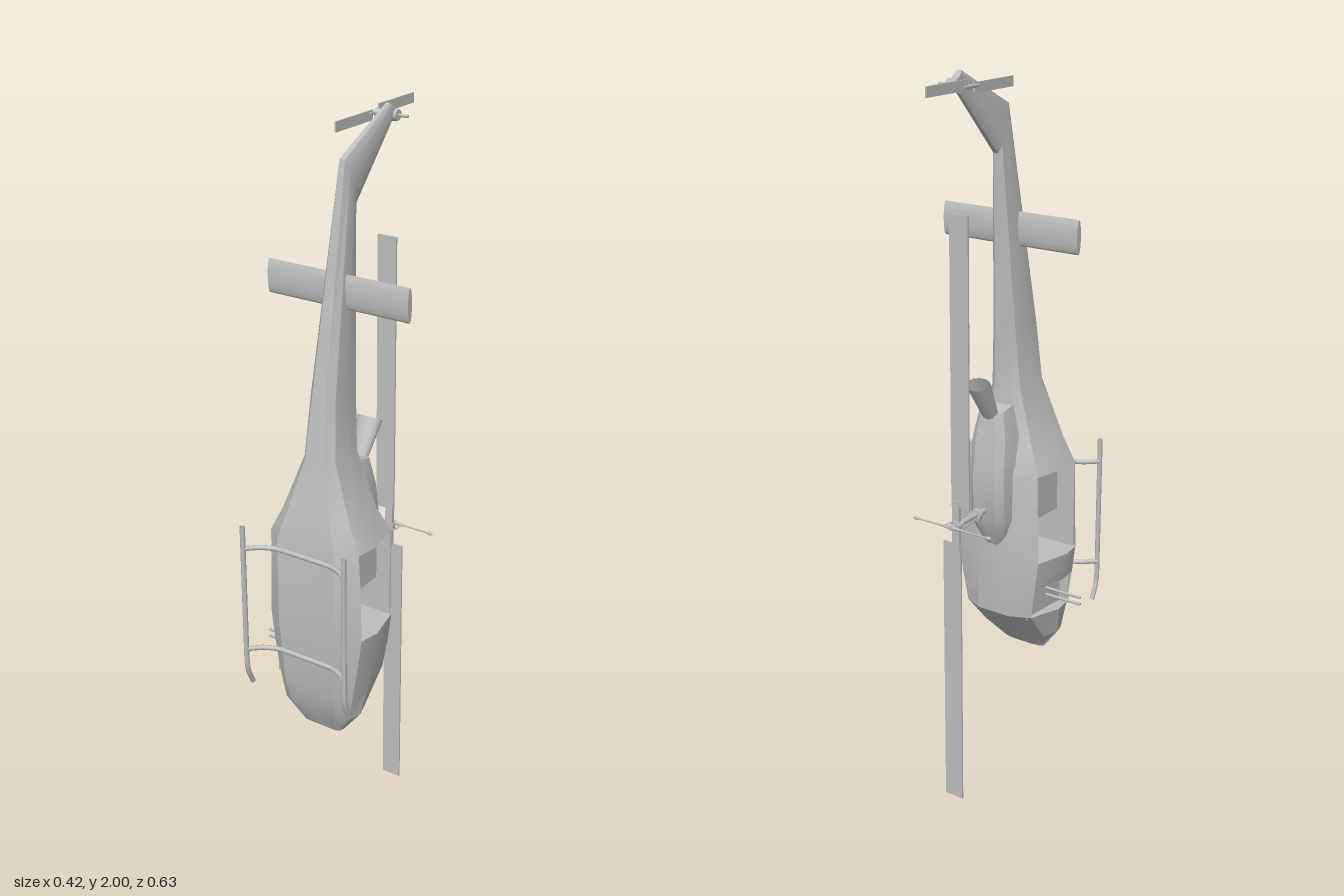
import * as THREE from 'three';
import { toCreasedNormals } from 'three/addons/utils/BufferGeometryUtils.js';

const grey = new THREE.MeshStandardMaterial({ color: 0xbdbdbd, side: THREE.DoubleSide });
grey.name = 'bodyGrey';

const V = (x, y, z) => new THREE.Vector3(x, y, z);

function part(parent, name, geometry, x = 0, y = 0, z = 0) {
  const m = new THREE.Mesh(geometry, grey);
  m.name = name;
  m.position.set(x, y, z);
  parent.add(m);
  return m;
}

const box = (parent, name, size, pos) => part(parent, name, new THREE.BoxGeometry(...size), ...pos);

// Straight round bar between two points
function rod(parent, name, a, b, r, r2 = r, sides = 8) {
  const d = b.clone().sub(a);
  const m = part(parent, name, new THREE.CylinderGeometry(r2, r, d.length(), sides));
  m.position.copy(a).addScaledVector(d, 0.5);
  m.quaternion.setFromUnitVectors(V(0, 1, 0), d.normalize());
  return m;
}

function tube(parent, name, points, r) {
  const curve = new THREE.CatmullRomCurve3(points, false, 'catmullrom', 0.2);
  return part(parent, name, new THREE.TubeGeometry(curve, 24, r, 8));
}

// Mirrored cross-section: y at belly and roof, then x,z pairs from belly to roof
function ring([yb, yr, ...p]) {
  const zb = p[1], zr = p[9];
  const at = (x, z) => V(x, yb + (yr - yb) * (zb - z) / (zb - zr), z);
  const side = [];
  for (let i = 0; i < 10; i += 2) side.push(at(p[i], p[i + 1]));
  const mirrored = side.map(v => V(-v.x, v.y, v.z)).reverse();
  return [at(0, zb), ...side, at(0, zr), ...mirrored];
}

// Skin over the sections; open(i, j) leaves a panel out, caps lists closed sections
function loft(sections, caps, open = () => false, crease = 0.45) {
  const rings = sections.map(ring);
  const pos = [];
  const tri = (...v) => v.forEach(q => pos.push(q.x, q.y, q.z));
  for (let i = 0; i < rings.length - 1; i++) {
    for (let j = 0; j < 12; j++) {
      if (open(i, j)) continue;
      const k = (j + 1) % 12;
      const [a, b, c, d] = [rings[i][j], rings[i][k], rings[i + 1][k], rings[i + 1][j]];
      tri(a, b, c);
      tri(a, c, d);
    }
  }
  for (const i of caps) {
    const r = rings[i];
    for (let j = 1; j < 11; j++) {
      if (i === 0) tri(r[0], r[j + 1], r[j]);
      else tri(r[0], r[j], r[j + 1]);
    }
  }
  const g = new THREE.BufferGeometry();
  g.setAttribute('position', new THREE.Float32BufferAttribute(pos, 3));
  return toCreasedNormals(g, crease);
}

export function createModel() {
  const model = new THREE.Group();
  model.name = 'helicopter';

  // Fuselage, tail boom and swept fin, nose pointing down
  const hull = [
    [0.355, 0.36, 0.05, 0.19, 0.06, 0.185, 0.065, 0.178, 0.055, 0.17, 0.03, 0.165],
    [0.42, 0.42, 0.07, 0.222, 0.105, 0.205, 0.115, 0.17, 0.1, 0.125, 0.05, 0.11],
    [0.5, 0.51, 0.08, 0.24, 0.12, 0.21, 0.132, 0.155, 0.107, 0.05, 0.05, 0.022],
    [0.6, 0.6, 0.085, 0.247, 0.136, 0.21, 0.145, 0.15, 0.122, 0.045, 0.05, 0.016],
    [0.68, 0.68, 0.09, 0.25, 0.147, 0.208, 0.157, 0.15, 0.132, 0.045, 0.045, 0.015],
    [0.93, 0.93, 0.09, 0.25, 0.14, 0.208, 0.147, 0.15, 0.128, 0.045, 0.045, 0.018],
    [1.0, 1.0, 0.07, 0.237, 0.105, 0.2, 0.113, 0.15, 0.095, 0.065, 0.04, 0.03],
    [1.155, 1.155, 0.03, 0.203, 0.048, 0.18, 0.054, 0.13, 0.045, 0.08, 0.02, 0.055],
    [1.32, 1.32, 0.02, 0.183, 0.038, 0.163, 0.043, 0.12, 0.035, 0.07, 0.015, 0.05],
    [1.9, 1.78, 0.008, 0.075, 0.015, 0.065, 0.018, 0.052, 0.015, 0.038, 0.007, 0.03],
    [2.0, 1.97, 0.004, -0.12, 0.009, -0.125, 0.011, -0.135, 0.009, -0.145, 0.004, -0.15],
  ];
  const doorway = (i, j) =>
    (i === 4 && [2, 3, 8, 9].includes(j)) || (i === 2 && [8, 9].includes(j));
  part(model, 'fuselage', loft(hull, [0, 2, 3, 4, 5, 10], doorway));

  // Cabin interior seen through the open doors
  box(model, 'cabinFloor', [0.28, 0.25, 0.004], [0, 0.805, 0.208]);
  box(model, 'cabinCeiling', [0.256, 0.25, 0.004], [0, 0.805, 0.046]);
  box(model, 'engineBay', [0.17, 0.15, 0.16], [0, 0.855, 0.127]);
  box(model, 'cockpitWall', [0.004, 0.1, 0.165], [-0.095, 0.55, 0.13]);
  box(model, 'cockpitFloor', [0.03, 0.1, 0.004], [-0.11, 0.55, 0.209]);
  for (const y of [0.545, 0.565]) {
    rod(model, 'sideBarrel', V(-0.21, y, 0.14), V(-0.095, y, 0.14), 0.004);
  }

  // Engine cowling on the roof
  const cowl = [
    [0.7, 0.72, 0.012, 0.06, 0.025, 0.055, 0.028, 0.035, 0.022, 0.02, 0.012, 0.012],
    [0.75, 0.76, 0.03, 0.06, 0.055, 0.055, 0.053, 0.035, 0.045, 0.008, 0.025, -0.004],
    [0.8, 0.8, 0.035, 0.06, 0.067, 0.055, 0.064, 0.035, 0.056, -0.005, 0.035, -0.02],
    [0.92, 0.92, 0.035, 0.06, 0.067, 0.055, 0.064, 0.035, 0.056, -0.01, 0.035, -0.025],
    [1.03, 1.03, 0.035, 0.06, 0.062, 0.055, 0.06, 0.04, 0.052, 0.002, 0.032, -0.014],
    [1.12, 1.1, 0.02, 0.07, 0.035, 0.06, 0.04, 0.045, 0.038, 0.012, 0.022, -0.004],
  ];
  part(model, 'engineCowling', loft(cowl, [0, 5], undefined, 0.6));

  // Flared oval exhaust
  const exhaust = part(model, 'exhaust',
    new THREE.CylinderGeometry(0.037, 0.02, 0.16, 16, 1, true), 0, 1.12, -0.008);
  exhaust.rotation.x = -0.503;
  exhaust.scale.z = 0.65;

  // Main rotor: mast, hub, two offset blades, control rods
  const rotor = new THREE.Group();
  rotor.name = 'mainRotor';
  rotor.position.set(0, 0.828, 0);
  model.add(rotor);
  rod(rotor, 'mast', V(0, 0, 0), V(0, 0, -0.172), 0.008);
  rod(rotor, 'swashPlate', V(0, 0, -0.05), V(0, 0, -0.062), 0.017, 0.017, 12);
  rod(rotor, 'hub', V(0, 0, -0.135), V(0, 0, -0.155), 0.018, 0.014, 12);
  for (const s of [-1, 1]) {
    box(rotor, 'bladeGrip', [0.022, 0.07, 0.01], [0, s * 0.035, -0.145]);
    box(rotor, 'rotorBlade', [0.057, 0.775, 0.005], [-s * 0.014, s * 0.4405, -0.145]);
    rod(rotor, 'controlRod', V(s * 0.014, 0, -0.055), V(s * 0.028, 0, -0.166), 0.002);
    const weight = part(rotor, 'barWeight', new THREE.SphereGeometry(0.005, 10, 6), s * 0.118, 0, -0.167);
    weight.scale.x = 1.8;
    rod(rotor, 'barRoot', V(0, 0, -0.167), V(s * 0.045, 0, -0.167), 0.006, 0.002);
  }
  rod(rotor, 'stabiliserBar', V(-0.125, 0, -0.167), V(0.125, 0, -0.167), 0.0025);

  // Tail rotor on the right side of the fin
  const tail = new THREE.Group();
  tail.name = 'tailRotor';
  tail.position.set(0, 1.967, -0.142);
  model.add(tail);
  rod(tail, 'gearbox', V(-0.018, 0, 0), V(0.018, 0, 0), 0.02, 0.014, 10);
  rod(tail, 'tailShaft', V(-0.054, 0, 0), V(0.046, 0, 0), 0.004);
  rod(tail, 'tailHub', V(-0.048, 0, 0), V(-0.032, 0, 0), 0.012, 0.007, 10);
  for (const s of [-1, 1]) {
    box(tail, 'tailBlade', [0.004, 0.026, 0.16], [-0.05, -s * 0.005, s * 0.094]);
    rod(tail, 'tailGrip', V(-0.05, 0, 0), V(-0.05, 0, s * 0.03), 0.005);
  }

  // Landing skids with curved toes, and the horizontal tailplane halves
  for (const s of [-1, 1]) {
    const x = s * 0.159;
    tube(model, 'skid', [V(x, 0.97, 0.306), V(x, 0.8, 0.306), V(x, 0.57, 0.306),
      V(x, 0.53, 0.301), V(x, 0.49, 0.282)], 0.007);
    const plane = part(model, 'tailplane',
      new THREE.CylinderGeometry(1, 1, 0.187, 12), s * 0.1165, 1.58, 0.096);
    plane.rotation.z = Math.PI / 2;
    plane.scale.set(0.045, 1, 0.009);
  }
  for (const y of [0.905, 0.602]) {
    const half = [V(0.08, y, 0.256), V(0.127, y, 0.274), V(0.159, y, 0.305)];
    const other = half.map(p => V(-p.x, p.y, p.z)).reverse();
    tube(model, 'crossTube', [...other, ...half], 0.007);
  }
  return model;
}
